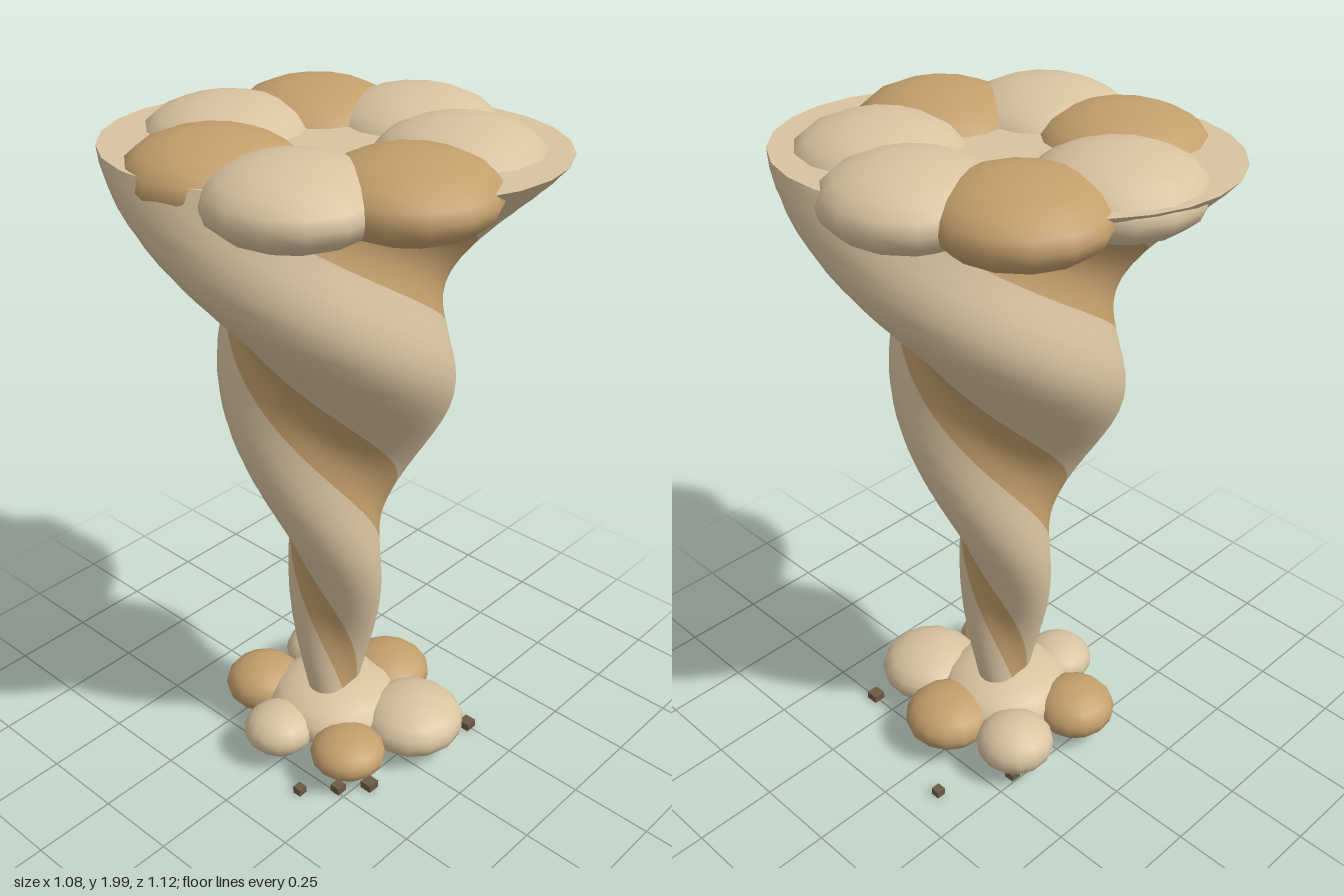
import * as THREE from 'three';

const LIGHT = new THREE.MeshStandardMaterial({ color: 0xd9c3a0 });
const TAN = new THREE.MeshStandardMaterial({ color: 0xc49f6c });
const DARK = new THREE.MeshStandardMaterial({ color: 0x6b5a45 });

const CX = -0.018;            // axis of the column
const BOTTOM = 0.006, TOP = 1.93;
const SEGS = 36, ROWS = 72;
const rad = THREE.MathUtils.degToRad;

// Point on the twisted two-lobed column; column j counts from the lobe crest
function columnPoint(j, y) {
  const a = rad(j * 360 / SEGS);
  const r = (0.07 + 0.43 * Math.pow(y / TOP, 1.65)) * (1 + 0.21 * Math.cos(2 * a));
  const t = a + rad(242 * (y - 1.7));
  return [CX + r * Math.cos(t), y, r * Math.sin(t)];
}

function named(name, geometry, material) {
  const mesh = new THREE.Mesh(geometry, material);
  mesh.name = name;
  return mesh;
}

// Twisted column: shared surface, split into lobe and groove bands
function makeColumn() {
  const group = new THREE.Group();
  group.name = 'twistedColumn';
  const pos = [], all = [], lobes = [], grooves = [];
  for (let i = 0; i <= ROWS; i++) {
    const y = BOTTOM + (TOP - BOTTOM) * i / ROWS;
    for (let j = 0; j < SEGS; j++) pos.push(...columnPoint(j, y));
  }
  for (let i = 0; i < ROWS; i++) {
    for (let j = 0; j < SEGS; j++) {
      const k = (j + 1) % SEGS;
      const a = i * SEGS + j, b = i * SEGS + k, c = a + SEGS, d = b + SEGS;
      const quad = [a, c, b, b, c, d];
      all.push(...quad);
      const inGroove = (j % 18) >= 6 && (j % 18) < 12;
      (inGroove ? grooves : lobes).push(...quad);
    }
  }
  const whole = new THREE.BufferGeometry();
  whole.setAttribute('position', new THREE.Float32BufferAttribute(pos, 3));
  whole.setIndex(all);
  whole.computeVertexNormals();
  const lobeGeo = whole.clone(), grooveGeo = whole.clone();
  lobeGeo.setIndex(lobes);
  grooveGeo.setIndex(grooves);
  group.add(named('columnLobes', lobeGeo, LIGHT), named('columnGrooves', grooveGeo, TAN));

  // Flat end caps
  for (const [name, y, up] of [['columnTop', TOP, true], ['columnFoot', BOTTOM, false]]) {
    const pts = [CX, y, 0], idx = [];
    for (let j = 0; j < SEGS; j++) {
      pts.push(...columnPoint(j, y));
      const a = 1 + j, b = 1 + (j + 1) % SEGS;
      idx.push(0, ...(up ? [b, a] : [a, b]));
    }
    const cap = new THREE.BufferGeometry();
    cap.setAttribute('position', new THREE.Float32BufferAttribute(pts, 3));
    cap.setIndex(idx);
    cap.computeVertexNormals();
    group.add(named(name, cap, LIGHT));
  }
  return group;
}

// Flattened round lump at an angle (degrees, +x towards +z) around the axis
function lump(name, angle, distance, y, radius, height, material) {
  const mesh = named(name, new THREE.SphereGeometry(1, 14, 10), material);
  mesh.scale.set(radius, height, radius);
  mesh.rotation.y = -rad(angle);
  mesh.position.set(CX + distance * Math.cos(rad(angle)), y, distance * Math.sin(rad(angle)));
  return mesh;
}

export function createModel() {
  const model = new THREE.Group();
  model.name = 'twistedPillar';
  model.add(makeColumn());

  // Crown of seven lumps
  const crown = new THREE.Group();
  crown.name = 'crown';
  for (let i = 0; i < 7; i++) {
    crown.add(lump('crownLump', -i * 360 / 7, 0.32, 1.895, 0.232, 0.105, i % 2 ? TAN : LIGHT));
  }
  model.add(crown);

  // Base mound with six lumps: radius, half height, distance
  const base = new THREE.Group();
  base.name = 'base';
  base.add(lump('baseMound', 0, 0, 0.11, 0.21, 0.095, LIGHT));
  const lumps = [
    [0.137, 0.08, 0.22], [0.16, 0.086, 0.26], [0.115, 0.065, 0.25],
    [0.11, 0.07, 0.22], [0.125, 0.08, 0.24], [0.12, 0.08, 0.25],
  ];
  lumps.forEach(([r, h, d], i) => {
    base.add(lump('baseLump', 8 + i * 60, d, 0.105, r, h, i % 2 ? LIGHT : TAN));
  });
  model.add(base);

  // Small cubic pebbles on the ground
  const pebbles = new THREE.Group();
  pebbles.name = 'pebbles';
  const spots = [
    [0.39, -0.12], [0.18, -0.23], [0.25, 0.33],
    [-0.325, 0.14], [-0.24, 0.22], [-0.165, 0.28],
  ];
  spots.forEach(([x, z], i) => {
    const w = 0.028 + 0.005 * (i % 3);
    const p = named('pebble', new THREE.BoxGeometry(w, 0.024, w), DARK);
    p.position.set(x, 0.018, z);
    pebbles.add(p);
  });
  model.add(pebbles);
  return model;
}
